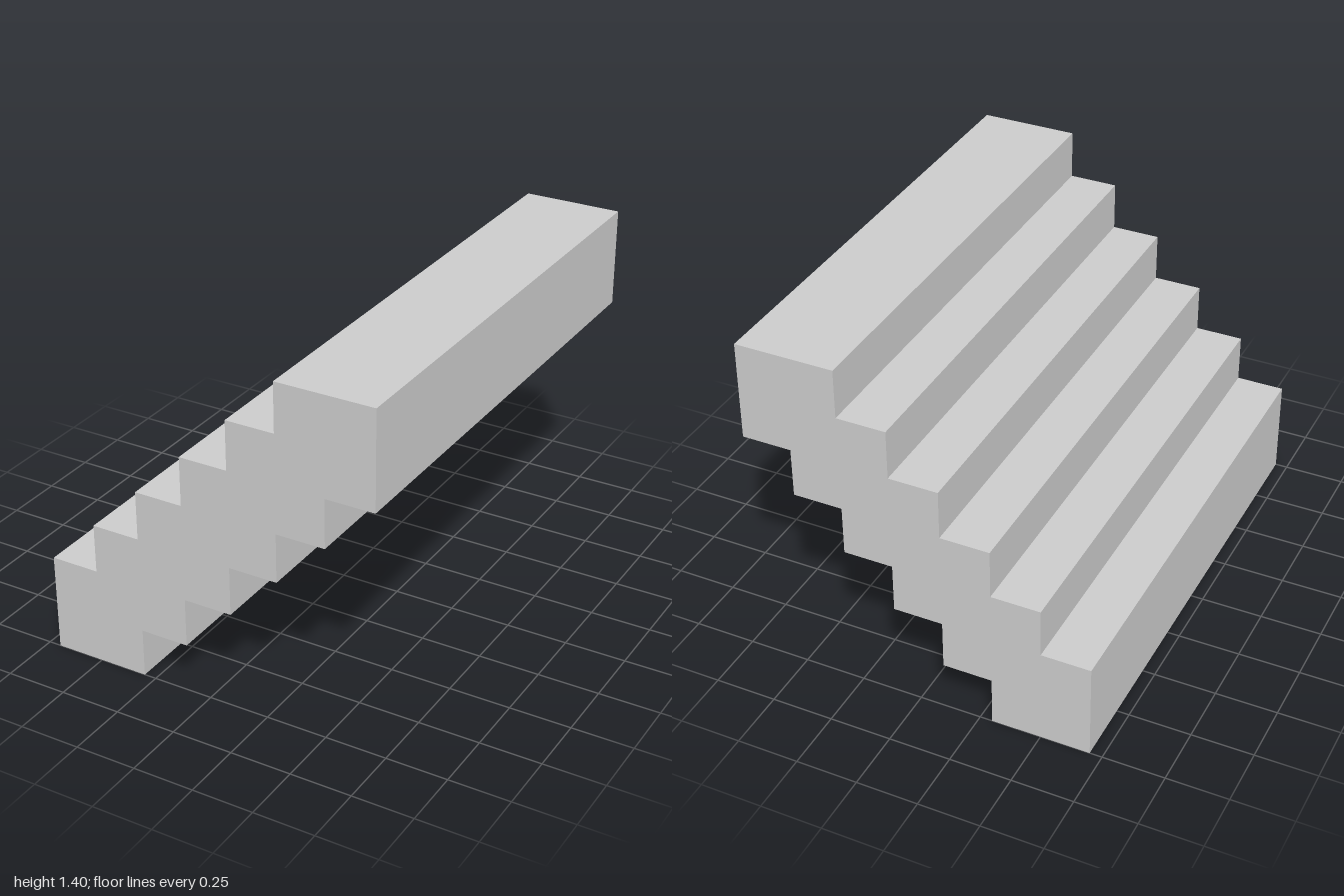
import * as THREE from 'three';

const STEPS = 6, STEP = 0.2, BLOCK = 0.4, WIDTH = 2;

// Stepped outline: up along the underside, back down along the treads
function stairProfile() {
  const x0 = -((STEPS - 1) * STEP + BLOCK) / 2;
  const points = [new THREE.Vector2(x0, 0)];
  for (let i = 0; i < STEPS; i++) {
    const x = x0 + BLOCK + i * STEP, y = i * STEP;
    const rise = i === STEPS - 1 ? BLOCK : STEP;
    points.push(new THREE.Vector2(x, y), new THREE.Vector2(x, y + rise));
  }
  for (let i = STEPS - 1; i >= 0; i--) {
    const x = x0 + i * STEP, y = i * STEP + BLOCK;
    points.push(new THREE.Vector2(x, y));
    if (i > 0) points.push(new THREE.Vector2(x, y - STEP));
  }
  return new THREE.Shape(points);
}

export function createModel() {
  const group = new THREE.Group();
  group.name = 'staircase';

  // One solid flight, extruded across its width
  const geometry = new THREE.ExtrudeGeometry(stairProfile(), { depth: WIDTH, bevelEnabled: false });
  geometry.translate(0, 0, -WIDTH / 2);
  const material = new THREE.MeshStandardMaterial({ color: 0xcccccc, flatShading: true });
  const flight = new THREE.Mesh(geometry, material);
  flight.name = 'stairFlight';
  group.add(flight);

  return group;
}
